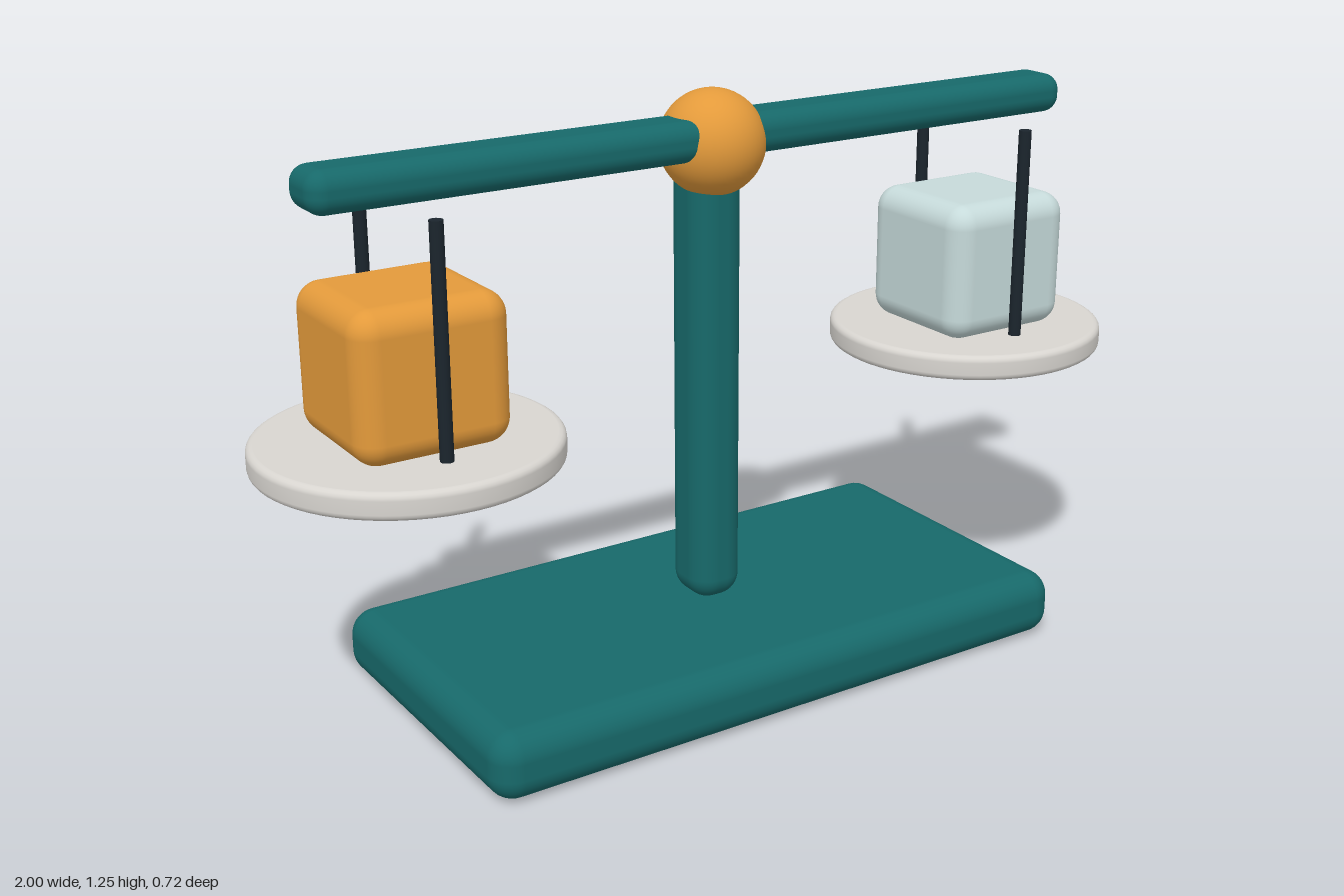
import * as THREE from 'three';
import { RoundedBoxGeometry } from 'three/addons/geometries/RoundedBoxGeometry.js';

const mat = (color) => new THREE.MeshStandardMaterial({ color });

export function createModel() {
  const model = new THREE.Group();
  model.name = 'balanceScale';
  const teal = mat(0x17696a), orange = mat(0xe39a3b), pale = mat(0xc6dada);
  const stone = mat(0xd8d5d0), dark = mat(0x1b252d);

  const add = (parent, name, geometry, material, x, y, z) => {
    const mesh = new THREE.Mesh(geometry, material);
    mesh.name = name;
    mesh.position.set(x, y, z);
    parent.add(mesh);
    return mesh;
  };
  const box = (w, h, d, r) => new RoundedBoxGeometry(w, h, d, 5, r);

  // Stand
  add(model, 'base', box(1.4, 0.145, 0.72, 0.055), teal, 0, 0.0725, 0);
  add(model, 'post', box(0.12, 0.985, 0.134, 0.05), teal, 0, 0.6375, 0);

  // Crossbeam and its pivot ball
  add(model, 'beam', box(1.78, 0.085, 0.125, 0.036), teal, 0, 1.1625, 0.03);
  add(model, 'pivotBall', new THREE.SphereGeometry(0.11, 40, 28), orange, 0, 1.145, 0.02);

  // Pan profile: a flat disc with a softly rounded rim
  const R = 0.305, H = 0.055, b = 0.014;
  const profile = [new THREE.Vector2(0, 0), new THREE.Vector2(R - b - 0.001, 0)];
  for (const [cy, start] of [[b, -Math.PI / 2], [H - b, 0]]) {
    for (let i = 0; i <= 4; i++) {
      const a = start + (i / 4) * (Math.PI / 2);
      profile.push(new THREE.Vector2(R - b + b * Math.cos(a), cy + b * Math.sin(a)));
    }
  }
  profile.push(new THREE.Vector2(R - b - 0.001, H), new THREE.Vector2(0, H));
  const panGeometry = new THREE.LatheGeometry(profile, 64);
  const rodGeometry = new THREE.CylinderGeometry(0.0135, 0.0135, 0.465, 16);

  // Two pans, each with a block and a pair of hanging rods
  for (const [side, sx, blockMaterial] of [['left', 1, pale], ['right', -1, orange]]) {
    const assembly = new THREE.Group();
    assembly.name = side + 'PanAssembly';
    assembly.position.set(sx * 0.695, 0, 0.014);
    model.add(assembly);
    add(assembly, 'pan', panGeometry, stone, 0, 0.604, 0);
    add(assembly, 'block', box(0.32, 0.302, 0.312, 0.05), blockMaterial, 0, 0.806, 0);
    add(assembly, 'frontRod', rodGeometry, dark, 0, 0.885, 0.171);
    add(assembly, 'backRod', rodGeometry, dark, 0, 0.885, -0.168);
  }
  return model;
}
